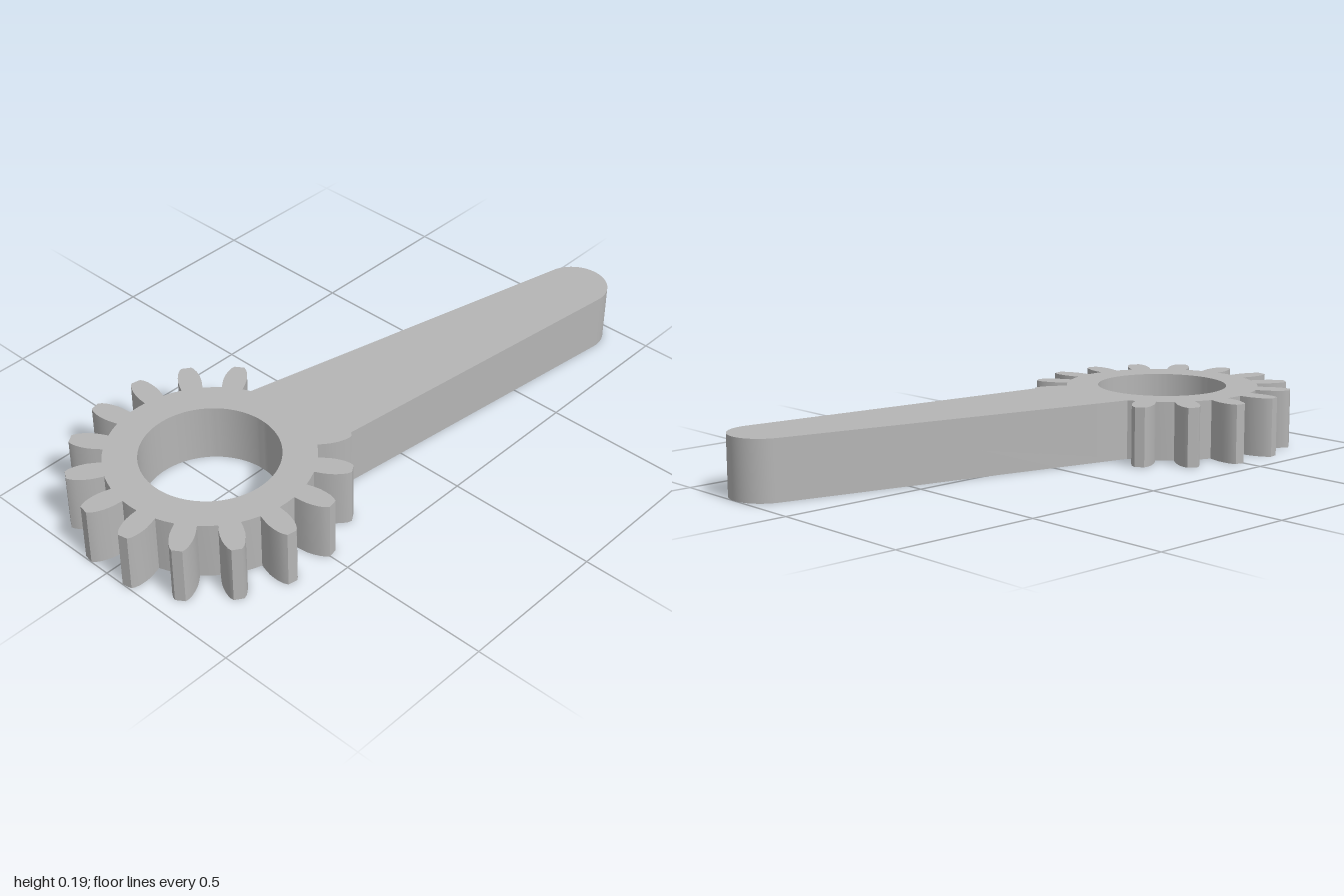
import * as THREE from 'three';
import { toCreasedNormals } from 'three/addons/utils/BufferGeometryUtils.js';

const HEIGHT = 0.195;
const HUB_X = -0.57;
const ROOT_R = 0.325;
const HOLE_R = 0.218;
const TEETH = 16;
const ARM_HUB_R = 0.195;                 // arm half width at the hub
const TIP = { x: 0.889, z: 0.26, r: 0.111 };

// half a tooth: [radius, half angle in degrees] from root to tip
const FLANK = [[ROOT_R, 5.9], [0.35, 5.9], [0.37, 5.7], [0.39, 5.1], [0.41, 4.2], [0.425, 3.2], [0.435, 2.1]];

const rad = THREE.MathUtils.degToRad;

function outline() {
  const pts = [];
  const polar = (r, deg, cx = HUB_X, cz = 0) =>
    pts.push(new THREE.Vector2(cx + r * Math.cos(rad(deg)), cz + r * Math.sin(rad(deg))));
  const arc = (r, from, to, n, cx, cz) => {
    for (let i = 0; i <= n; i++) polar(r, from + (to - from) * i / n, cx, cz);
  };

  // teeth all round except the two swallowed by the arm
  const pitch = 360 / TEETH;
  for (let i = 1; i < TEETH - 1; i++) {
    const a = pitch * (i + 0.5);
    if (i === 1) polar(0.436, a);        // the arm cuts this tooth at its tip
    else FLANK.forEach(([r, h]) => polar(r, a - h));
    [...FLANK].reverse().forEach(([r, h]) => polar(r, a + h));
    polar(ROOT_R, i === TEETH - 2 ? 337.1 : a + pitch / 2);
  }

  // arm: straight tangent sides and a round end
  const dx = TIP.x - HUB_X;
  const dir = THREE.MathUtils.radToDeg(Math.atan2(TIP.z, dx));
  const taper = THREE.MathUtils.radToDeg(Math.asin((ARM_HUB_R - TIP.r) / Math.hypot(dx, TIP.z)));
  const half = 90 - taper;
  arc(TIP.r, dir - half, dir + half, 32, TIP.x, TIP.z);
  return pts;
}

export function createModel() {
  const model = new THREE.Group();
  const grey = new THREE.MeshStandardMaterial({ color: 0xb5b5b5 });
  grey.name = 'grey';

  const shape = new THREE.Shape(outline());
  shape.holes.push(new THREE.Path().absarc(HUB_X, 0, HOLE_R, 0, Math.PI * 2, true));

  // extruded in plan, then laid flat on the ground
  const geometry = new THREE.ExtrudeGeometry(shape, { depth: HEIGHT, bevelEnabled: false, curveSegments: 72 });
  geometry.rotateX(Math.PI / 2).translate(0, HEIGHT, 0);

  const lever = new THREE.Mesh(toCreasedNormals(geometry, rad(32)), grey);
  lever.name = 'gearLever';
  model.add(lever);
  return model;
}
